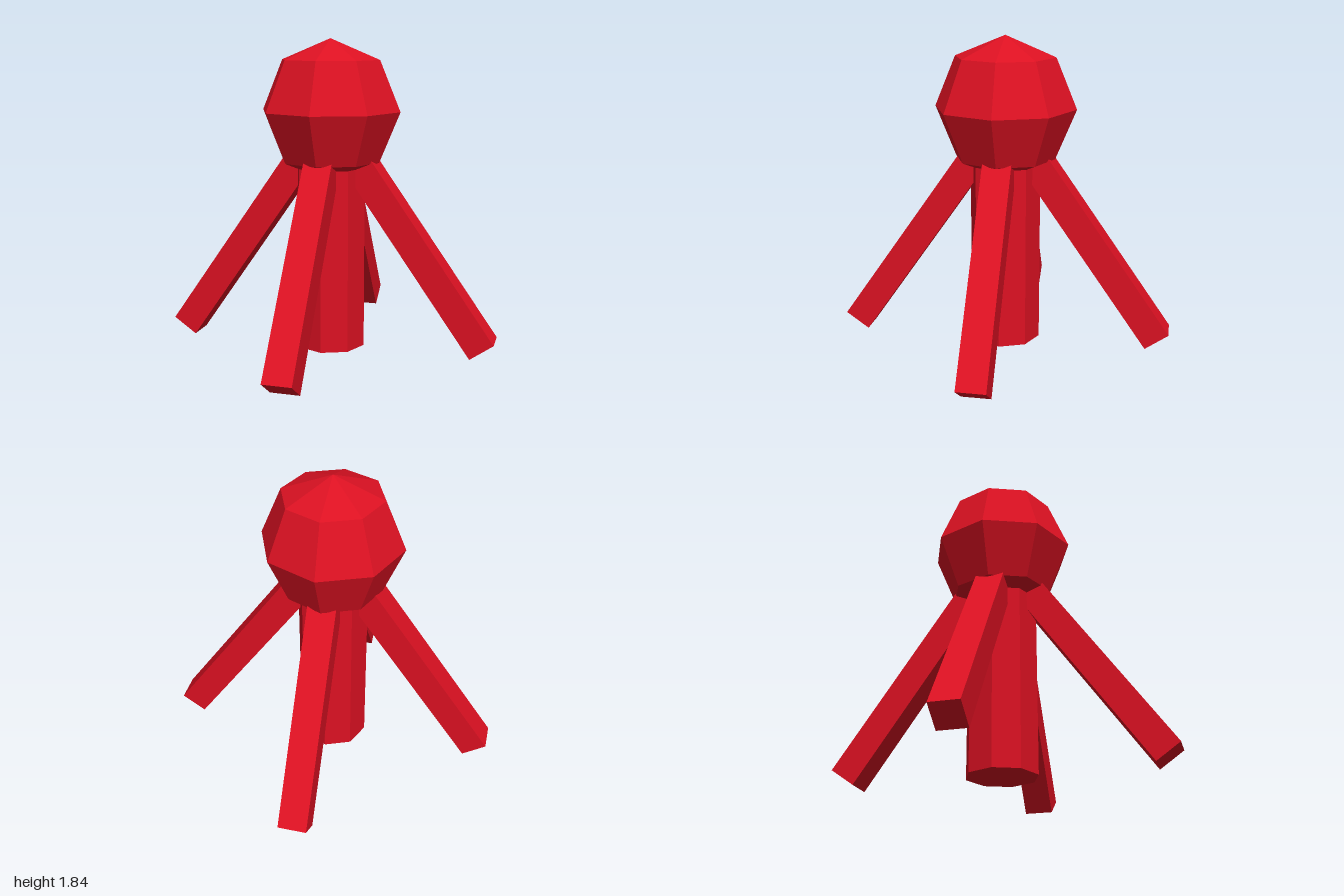
import * as THREE from 'three';

export function createModel() {
  const model = new THREE.Group();
  const red = new THREE.MeshStandardMaterial({ color: 0xdd1122, flatShading: true });

  const add = (name, geometry, parent = model) => {
    const mesh = new THREE.Mesh(geometry, red);
    mesh.name = name;
    parent.add(mesh);
    return mesh;
  };

  // Faceted ball on top
  add('head', new THREE.SphereGeometry(0.42, 8, 4)).position.y = 1.42;

  // Octagonal centre post, ending inside the head
  const postHeight = 1.2;
  add('post', new THREE.CylinderGeometry(0.21, 0.21, postHeight, 8)).position.y = postHeight / 2;

  // Four square struts leaning in under the head
  const width = 0.168, length = 1.4, lean = THREE.MathUtils.degToRad(35);
  const strutGeometry = new THREE.BoxGeometry(width, length, width).translate(0, length / 2, 0);
  const names = ['leftStrut', 'backStrut', 'rightStrut', 'frontStrut'];
  names.forEach((name, i) => {
    const pivot = new THREE.Group();
    pivot.name = name + 'Pivot';
    pivot.rotation.y = i * Math.PI / 2;
    const strut = add(name, strutGeometry, pivot);
    // Foot placed so its outer corner reaches x = 1 and its inner corner the ground
    strut.position.set(1 - width / 2 * Math.cos(lean), width / 2 * Math.sin(lean), 0);
    strut.rotation.z = lean;
    model.add(pivot);
  });

  return model;
}
